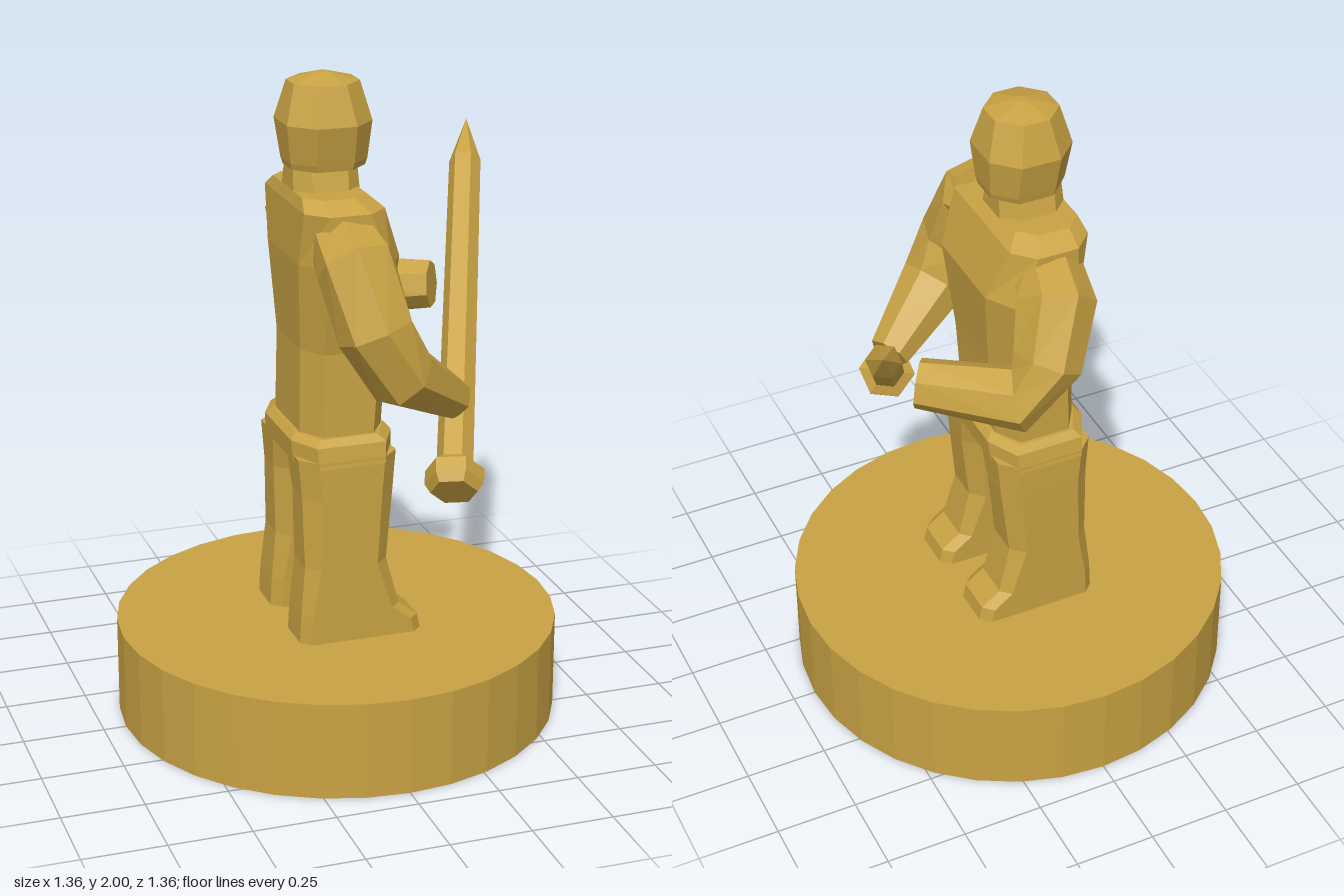
import * as THREE from 'three';

const V = (x, y, z) => new THREE.Vector3(x, y, z);

// Closed skin over rings of points, each counter-clockwise about the direction of travel
function skin(rings) {
  const n = rings[0].length, pos = [];
  const tri = (a, b, c) => pos.push(...a.toArray(), ...b.toArray(), ...c.toArray());
  for (let i = 0; i < rings.length - 1; i++) {
    for (let j = 0; j < n; j++) {
      const k = (j + 1) % n, lo = rings[i], hi = rings[i + 1];
      tri(lo[j], lo[k], hi[k]);
      tri(lo[j], hi[k], hi[j]);
    }
  }
  const first = rings[0], last = rings[rings.length - 1];
  for (let j = 1; j < n - 1; j++) {
    tri(first[0], first[j + 1], first[j]);
    tri(last[0], last[j], last[j + 1]);
  }
  const g = new THREE.BufferGeometry();
  g.setAttribute('position', new THREE.Float32BufferAttribute(pos, 3));
  g.computeVertexNormals();
  return g;
}

// Horizontal rectangle with cut corners; cx and cz are the corner cuts
function slab([y, x0, x1, z0, z1, cx, cz = cx]) {
  return [
    [x1, z1 - cz], [x1, z0 + cz], [x1 - cx, z0], [x0 + cx, z0],
    [x0, z0 + cz], [x0, z1 - cz], [x0 + cx, z1], [x1 - cx, z1],
  ].map(([x, z]) => V(x, y, z));
}

// Limb: rings of given radius square to a path
function limb(path, ref, sides) {
  const pts = path.map((p) => V(p[0], p[1], p[2]));
  return skin(pts.map((p, i) => {
    const a = pts[Math.max(i - 1, 0)], b = pts[Math.min(i + 1, pts.length - 1)];
    const t = b.clone().sub(a).normalize();
    const u = ref.clone().addScaledVector(t, -ref.dot(t)).normalize();
    const v = t.clone().cross(u);
    return Array.from({ length: sides }, (_, j) => {
      const q = (j / sides) * Math.PI * 2;
      return p.clone().addScaledVector(u, Math.cos(q) * path[i][3]).addScaledVector(v, Math.sin(q) * path[i][3]);
    });
  }));
}

export function createModel() {
  const group = new THREE.Group();
  const gold = new THREE.MeshStandardMaterial({ color: 0xc8a243, flatShading: true });
  gold.name = 'gold';
  const add = (name, geometry, parent = group) => {
    const mesh = new THREE.Mesh(geometry, gold);
    mesh.name = name;
    parent.add(mesh);
    return mesh;
  };

  // Round plinth
  add('base', new THREE.CylinderGeometry(0.68, 0.68, 0.3, 32)).position.y = 0.15;

  // Legs with feet pointing to +x
  for (const s of [1, -1]) {
    const rows = [
      [0.3, -0.185, 0.2, 0.06, 0.24, 0.03],
      [0.345, -0.183, 0.19, 0.06, 0.24, 0.03],
      [0.39, -0.18, 0.13, 0.06, 0.24, 0.03],
      [0.54, -0.165, 0.092, 0.055, 0.24, 0.04],
      [0.76, -0.17, 0.115, 0.045, 0.24, 0.05],
      [0.88, -0.18, 0.125, 0.02, 0.238, 0.05],
    ].map(([y, x0, x1, zi, zo, c]) => slab([y, x0, x1, s > 0 ? zi : -zo, s > 0 ? zo : -zi, c]));
    add(s > 0 ? 'rightLeg' : 'leftLeg', skin(rows));
  }

  // Hips with a small lip below the waist
  add('hips', skin([
    [0.86, -0.18, 0.125, -0.24, 0.24, 0.05, 0.1],
    [0.925, -0.185, 0.13, -0.23, 0.23, 0.05, 0.1],
    [0.945, -0.165, 0.11, -0.21, 0.21, 0.05, 0.1],
  ].map(slab)));

  // Torso
  add('torso', skin([
    [0.93, -0.155, 0.1, -0.2, 0.2, 0.05, 0.08],
    [1.2, -0.15, 0.12, -0.195, 0.195, 0.05, 0.08],
    [1.47, -0.165, 0.145, -0.25, 0.25, 0.06, 0.1],
    [1.63, -0.16, 0.085, -0.25, 0.25, 0.06, 0.06],
    [1.665, -0.15, 0.045, -0.19, 0.19, 0.05, 0.05],
  ].map(slab)));

  // Neck and head
  add('neck', skin([
    [1.64, -0.15, 0.055, -0.11, 0.11, 0.05],
    [1.75, -0.145, 0.05, -0.08, 0.08, 0.04],
  ].map(slab)));
  add('head', skin([
    [1.725, -0.15, 0.075, -0.105, 0.105, 0.06],
    [1.745, -0.155, 0.08, -0.11, 0.11, 0.06],
    [1.86, -0.17, 0.09, -0.135, 0.135, 0.07],
    [1.975, -0.14, 0.06, -0.1, 0.1, 0.06],
    [2.0, -0.055, -0.025, -0.015, 0.015, 0.007],
  ].map(slab)));

  // Arms bent toward the weapon
  add('rightArm', limb([
    [-0.04, 1.54, 0.17, 0.1],
    [-0.04, 1.5, 0.3, 0.118],
    [-0.005, 1.32, 0.375, 0.115],
    [0.075, 1.18, 0.37, 0.105],
    [0.28, 1.045, 0.255, 0.065],
  ], V(0.6, 0.6, 0.5), 7));
  add('leftArm', limb([
    [-0.04, 1.54, -0.17, 0.1],
    [-0.01, 1.5, -0.29, 0.118],
    [0.045, 1.35, -0.35, 0.105],
    [0.13, 1.24, -0.345, 0.1],
    [0.375, 1.265, -0.185, 0.075],
  ], V(0.6, 0.6, -0.5), 7));

  // Sword, turned about its own axis and then aimed from pommel to tip
  const sword = new THREE.Group();
  sword.name = 'sword';
  const from = V(0.215, 0.825, 0.44), to = V(0.63, 1.685, -0.56);
  const len = from.distanceTo(to);
  const lathe = (points) => new THREE.LatheGeometry(points.map(([r, y]) => new THREE.Vector2(r, y)), 6);
  add('blade', lathe([[0, 0.05], [0.055, 0.05], [0.05, len - 0.17], [0, len]]), sword);
  add('pommel', lathe([[0, 0], [0.07, 0], [0.088, 0.03], [0.088, 0.075], [0.055, 0.1], [0, 0.1]]), sword);
  sword.position.copy(from);
  sword.quaternion.setFromUnitVectors(V(0, 1, 0), to.clone().sub(from).normalize());
  group.add(sword);

  return group;
}
